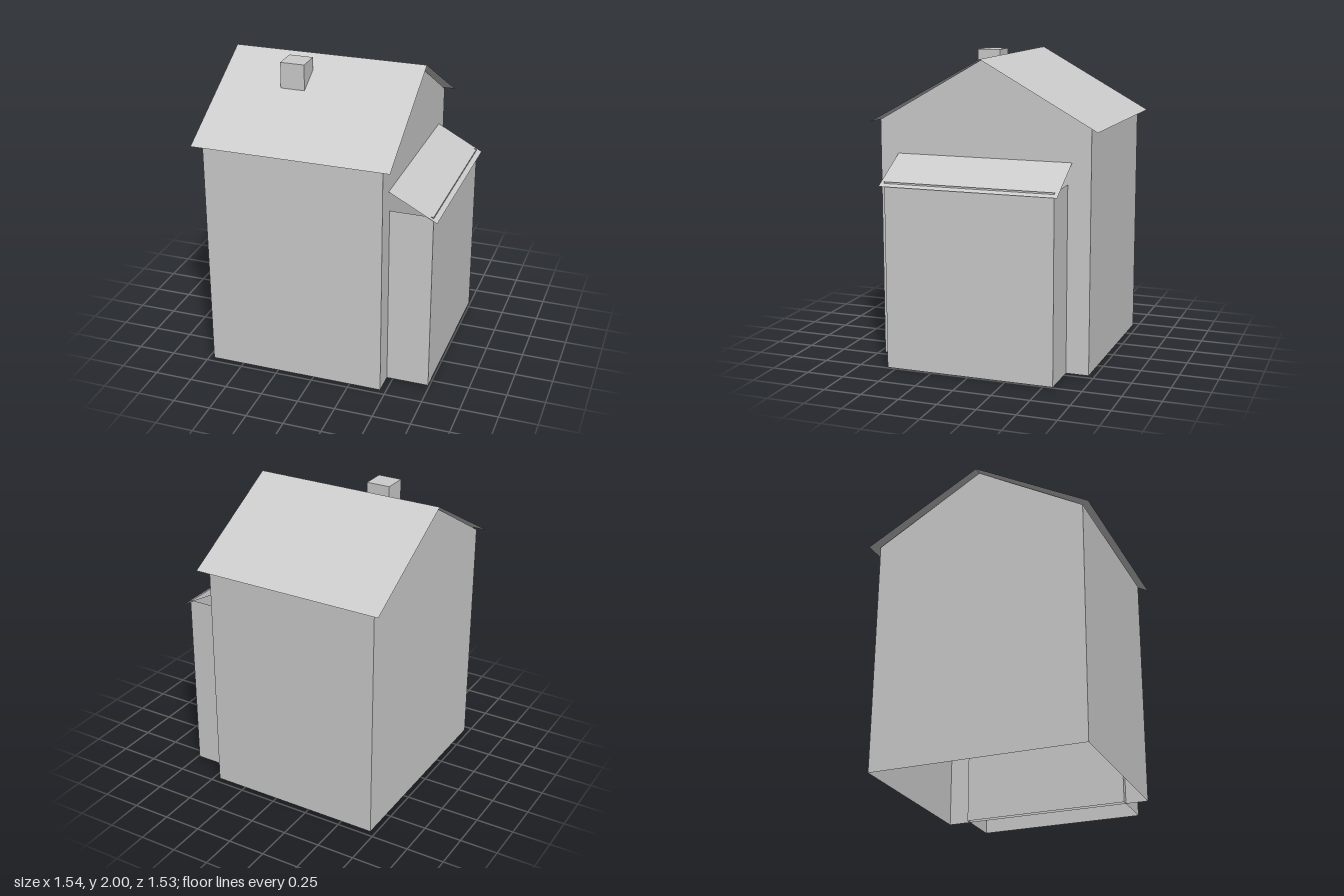
import * as THREE from 'three';

// Flat convex sheet from its corners, anticlockwise seen from outside
function sheet(corners) {
  const pos = [];
  for (let i = 1; i < corners.length - 1; i++) {
    pos.push(...corners[0], ...corners[i], ...corners[i + 1]);
  }
  const geo = new THREE.BufferGeometry();
  geo.setAttribute('position', new THREE.Float32BufferAttribute(pos, 3));
  geo.computeVertexNormals();
  return geo;
}

export function createModel() {
  const house = new THREE.Group();
  house.name = 'house';
  const grey = new THREE.MeshStandardMaterial({ color: 0xcccccc, side: THREE.DoubleSide });
  grey.name = 'light grey';

  const add = (name, geo, parent = house) => {
    const mesh = new THREE.Mesh(geo, grey);
    mesh.name = name;
    parent.add(mesh);
    return mesh;
  };
  const group = (name) => {
    const g = new THREE.Group();
    g.name = name;
    house.add(g);
    return g;
  };

  // Main walls: open underneath, with gables at both ends
  const x0 = -0.715, x1 = 0.46, d = 0.71, eave = 1.577, ridge = 1.985;
  const walls = group('mainWalls');
  add('frontWall', sheet([[x0, 0, d], [x1, 0, d], [x1, eave, d], [x0, eave, d]]), walls);
  add('backWall', sheet([[x1, 0, -d], [x0, 0, -d], [x0, eave, -d], [x1, eave, -d]]), walls);
  add('leftGable', sheet([[x1, 0, d], [x1, 0, -d], [x1, eave, -d], [x1, ridge, 0], [x1, eave, d]]), walls);
  add('rightGable', sheet([[x0, 0, -d], [x0, 0, d], [x0, eave, d], [x0, ridge, 0], [x0, eave, -d]]), walls);

  // Main roof: two thin slopes overhanging the walls
  const r0 = -0.77, r1 = 0.52, rd = 0.765, low = 1.563, top = 1.987;
  const roof = group('mainRoof');
  add('frontSlope', sheet([[r0, low, rd], [r1, low, rd], [r1, top, 0], [r0, top, 0]]), roof);
  add('backSlope', sheet([[r1, low, -rd], [r0, low, -rd], [r0, top, 0], [r1, top, 0]]), roof);

  // Chimney rising through the front slope
  add('chimney', new THREE.BoxGeometry(0.16, 0.2, 0.16)).position.set(-0.275, 1.9, 0.204);

  // Side extension: four walls, open above and below, reaching into the house
  const ext = group('extensionWalls');
  const ring = [[0.42, 0.56], [0.74, 0.56], [0.74, -0.56], [0.42, -0.56]];
  const names = ['extensionFront', 'extensionSide', 'extensionBack', 'extensionInner'];
  const h = 1.222;
  ring.forEach(([ax, az], i) => {
    const [bx, bz] = ring[(i + 1) % 4];
    add(names[i], sheet([[ax, 0, az], [bx, 0, bz], [bx, h, bz], [ax, h, az]]), ext);
  });

  // Single sloping roof over the extension
  const ed = 0.587;
  add('extensionRoof', sheet([[0.77, 1.195, ed], [0.77, 1.195, -ed], [x1, 1.362, -ed], [x1, 1.362, ed]]));

  return house;
}
